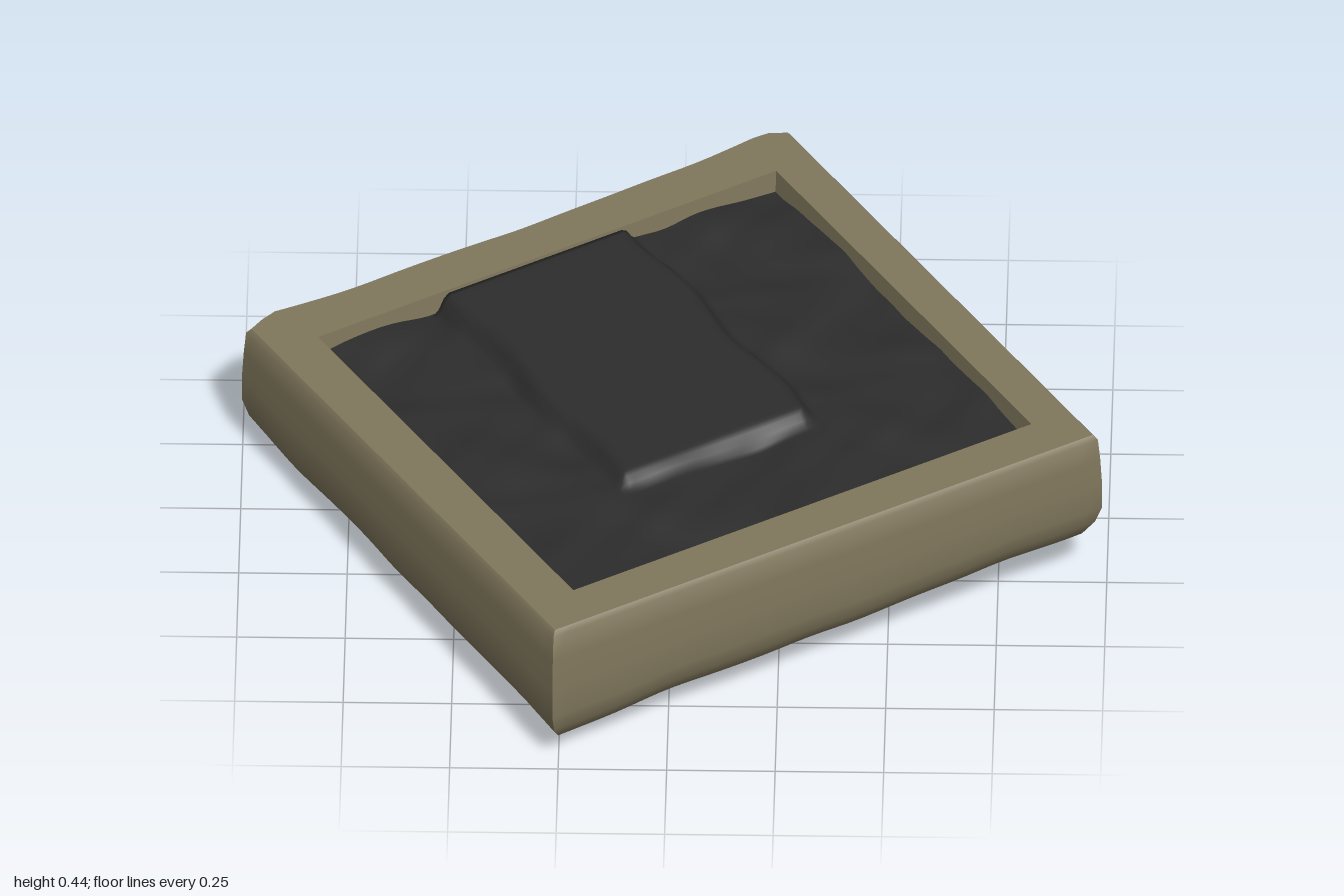
import * as THREE from 'three';
import { toCreasedNormals } from 'three/addons/utils/BufferGeometryUtils.js';

const smooth = THREE.MathUtils.smoothstep;
// soft hand-shaped unevenness, about -1..1
const wave = (x, z) =>
  0.5 * Math.sin(9 * x + 4 * Math.sin(5 * z)) + 0.5 * Math.sin(11 * z + 3 * Math.sin(7 * x) + 1);

// sloping rim plane and uneven underside
const rimY = (x, z) => 0.391 + 0.036 * x + 0.042 * z;
const bottomY = (x, z) => {
  const dip = Math.exp(-((x - 0.51) ** 2 + (z + 0.06) ** 2) / 0.05);
  return 0.062 + 0.045 * x + 0.04 * z + 0.022 * x * z - 0.06 * dip + 0.006 * wave(x, z);
};

// square rings joined from the underside, up the walls, over the rim and inside
function trayGeometry() {
  const n = 36;
  const rings = []; // [half size, height rule]
  for (const h of [0, 0.1, 0.2, 0.3, 0.4, 0.5, 0.56, 0.61]) rings.push([h, bottomY]);
  const addWall = (h, k, lift) =>
    rings.push([h, (x, z) => THREE.MathUtils.lerp(bottomY(x, z) + lift, rimY(x, z), k)]);
  addWall(0.655, 0, 0.01);
  addWall(0.695, 0, 0.032);
  addWall(0.718, 0, 0.07);
  addWall(0.73, 0.1, 0.09);
  addWall(0.73, 0.4, 0.09);
  addWall(0.727, 0.7, 0.09);
  rings.push([0.723, (x, z) => rimY(x, z) - 0.012]);
  rings.push([0.714, rimY]);
  rings.push([0.604, rimY]);
  rings.push([0.596, (x, z) => rimY(x, z) - 0.12]);

  const corners = [[-1, 1], [1, 1], [1, -1], [-1, -1]];
  const pos = [], index = [];
  for (const [h, height] of rings) {
    const outer = smooth(h, 0.62, 0.72);
    for (let s = 0; s < 4; s++) {
      const a = corners[s], b = corners[(s + 1) % 4];
      for (let i = 0; i < n; i++) {
        const t = i / n;
        const x = (a[0] + (b[0] - a[0]) * t) * h * (1 - 0.007 * outer) - 0.008 * outer;
        let z = (a[1] + (b[1] - a[1]) * t) * h * (1 + 0.008 * outer);
        const y = height(x, z);
        // the back side swells towards its two rounded-off corners
        if (s === 2 || (s === 3 && i === 0)) {
          const swell = 0.008 + 0.032 * (x / 0.72) ** 4 + 0.004 * wave(x, y)
            - 0.045 * smooth(Math.abs(x), 0.64, 0.73);
          z -= outer * swell;
        }
        pos.push(x, y, z);
      }
    }
  }
  const m = 4 * n;
  for (let r = 0; r < rings.length - 1; r++)
    for (let i = 0; i < m; i++) {
      const j = (i + 1) % m;
      const a = r * m + i, b = r * m + j, c = b + m, d = a + m;
      if (r > 0) index.push(a, b, c);
      index.push(a, c, d);
    }
  const g = new THREE.BufferGeometry();
  g.setAttribute('position', new THREE.Float32BufferAttribute(pos, 3));
  g.setIndex(index);
  return toCreasedNormals(g, 0.7);
}

// lumpy floor with a raised rectangular slab running to the back rim
function bedGeometry() {
  const g = new THREE.PlaneGeometry(1.204, 1.204, 90, 90).rotateX(-Math.PI / 2);
  const p = g.attributes.position;
  for (let i = 0; i < p.count; i++) {
    const x = p.getX(i), z = p.getZ(i);
    const wob = 0.01 * Math.sin(14 * z);
    const slab = smooth(x, -0.3 + wob, -0.26 + wob) * (1 - smooth(x, 0.2 + wob, 0.24 + wob))
      * (1 - smooth(z, 0.24, 0.29)) * smooth(z, -0.602, -0.588);
    const floor = -0.045 + 0.008 * wave(x, z) + 0.005 * wave(2 * z + 1, 2 * x);
    const top = 0.004 - 0.014 * smooth(z, -0.6, 0.3);
    p.setY(i, rimY(x, z) + THREE.MathUtils.lerp(floor, top, slab));
  }
  g.computeVertexNormals();
  return g;
}

// thin dark patch following the underside, fanned out from its middle
function patchGeometry() {
  const outline = [[0.565, 0.433], [0.65, 0.284], [0.606, 0.068], [0.522, -0.049],
    [0.41, -0.115], [0.29, -0.172], [0.31, 0], [0.322, 0.168], [0.413, 0.369]];
  const cx = 0.46, cz = 0.13, steps = 6, n = outline.length;
  const pos = [], index = [];
  for (let r = 0; r <= steps; r++)
    for (const [x, z] of outline) {
      const px = cx + (x - cx) * r / steps, pz = cz + (z - cz) * r / steps;
      pos.push(px, bottomY(px, pz) - 0.008, pz);
    }
  for (let r = 0; r < steps; r++)
    for (let i = 0; i < n; i++) {
      const j = (i + 1) % n, a = r * n + i, b = r * n + j;
      if (r > 0) index.push(a, b, b + n);
      index.push(a, b + n, a + n);
    }
  const g = new THREE.BufferGeometry();
  g.setAttribute('position', new THREE.Float32BufferAttribute(pos, 3));
  g.setIndex(index);
  g.computeVertexNormals();
  return g;
}

export function createModel() {
  const clay = new THREE.MeshStandardMaterial({ color: 0x80775c });
  clay.name = 'olive brown';
  const dark = new THREE.MeshStandardMaterial({ color: 0x2d2d2e, side: THREE.DoubleSide });
  dark.name = 'charcoal';

  const turned = new THREE.Group();
  turned.name = 'turnedTray';
  turned.rotation.y = 0.527;
  const add = (name, geometry, material) => {
    const mesh = new THREE.Mesh(geometry, material);
    mesh.name = name;
    turned.add(mesh);
  };
  add('trayFrame', trayGeometry(), clay);
  add('innerBed', bedGeometry(), dark);
  add('undersidePatch', patchGeometry(), dark);

  const model = new THREE.Group();
  model.name = 'tray';
  model.add(turned);
  // rest the lowest point on the ground
  model.updateMatrixWorld(true);
  turned.position.y -= new THREE.Box3().setFromObject(model, true).min.y;
  return model;
}
